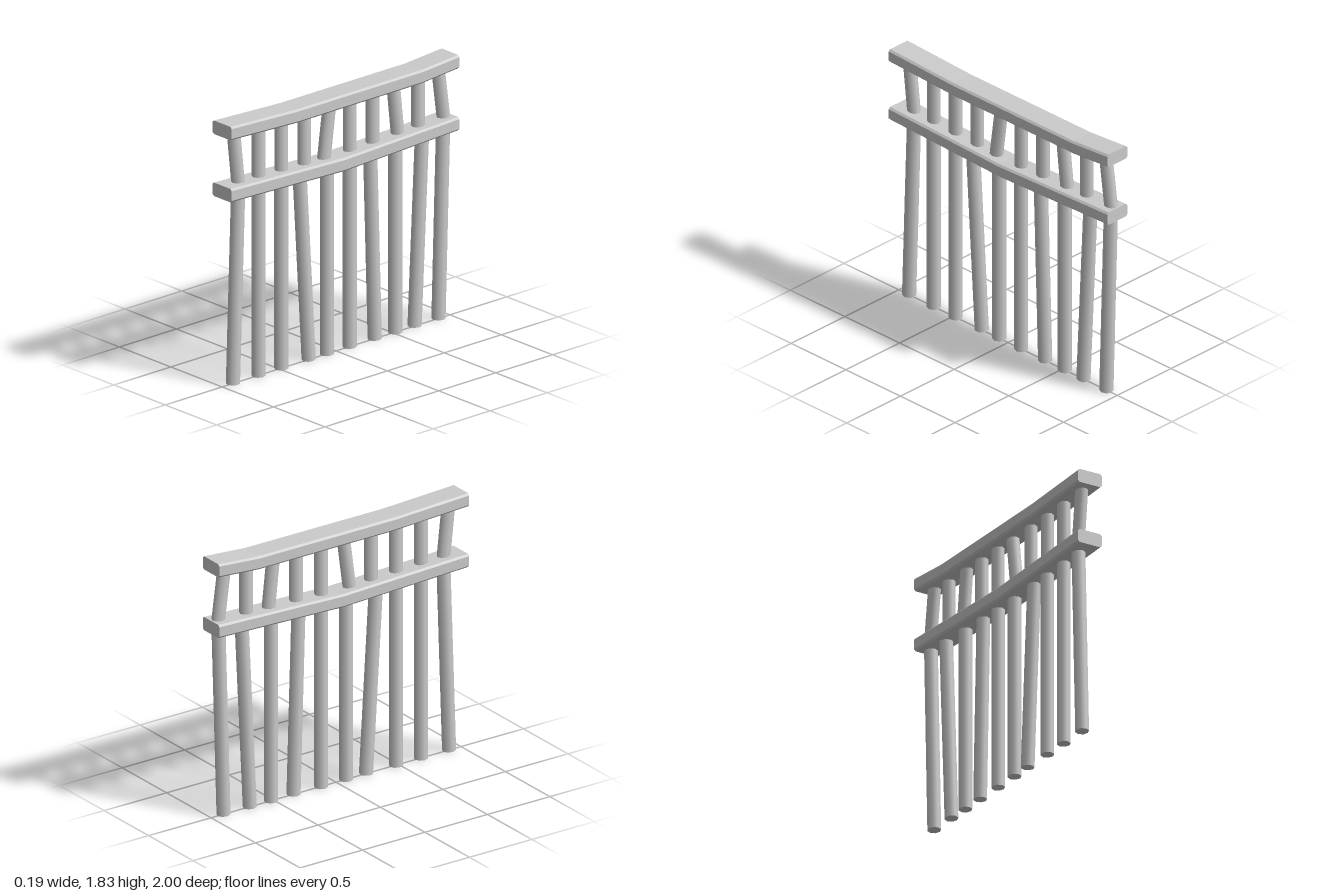
import * as THREE from 'three';

const material = new THREE.MeshStandardMaterial({ color: 0xcccccc });

// Rail: bevelled rectangular section swept along z through [z, centre y] stations.
function makeRail(name, stations, width, height) {
  const w = width / 2, h = height / 2, b = 0.013;
  const section = new THREE.Shape([
    [-w + b, -h], [w - b, -h], [w, -h + b], [w, h - b],
    [w - b, h], [-w + b, h], [-w, h - b], [-w, -h + b],
  ].map(([x, y]) => new THREE.Vector2(x, y)));
  const steps = stations.length - 1;
  const geometry = new THREE.ExtrudeGeometry(section, { depth: steps, steps, bevelEnabled: false });
  const pos = geometry.attributes.position;
  for (let i = 0; i < pos.count; i++) {
    const [z, y] = stations[Math.round(pos.getZ(i))];
    pos.setY(i, pos.getY(i) + y);
    pos.setZ(i, z);
  }
  geometry.computeVertexNormals();
  const rail = new THREE.Mesh(geometry, material);
  rail.name = name;
  return rail;
}

// Eight-sided post leaning from one point to another in the plane of the railing.
function makePost(name, z0, y0, z1, y1, rx, rz) {
  const length = Math.hypot(z1 - z0, y1 - y0);
  const post = new THREE.Mesh(new THREE.CylinderGeometry(1, 1, length, 8), material);
  post.scale.set(rx, 1, rz);
  post.position.set(0, (y0 + y1) / 2, (z0 + z1) / 2);
  post.rotation.x = Math.atan2(z1 - z0, y1 - y0);
  post.name = name;
  return post;
}

export function createModel() {
  const group = new THREE.Group();
  group.name = 'railing';

  // Rails, stations running from back to front
  group.add(makeRail('topRail',
    [[-1, 1.786], [-0.68, 1.762], [0.42, 1.762], [1, 1.786]], 0.186, 0.094));
  group.add(makeRail('lowerRail',
    [[-1, 1.354], [0, 1.321], [1, 1.354]], 0.186, 0.094));

  // Long posts: z at the ground and z at the lower rail
  const longPosts = [
    [0.905, 0.86], [0.68, 0.68], [0.48, 0.48], [0.24, 0.32], [0.08, 0.08],
    [-0.12, -0.12], [-0.34, -0.30], [-0.52, -0.52], [-0.69, -0.755], [-0.90, -0.94],
  ];
  longPosts.forEach(([z0, z1], i) => {
    const lift = 0.048 * Math.abs(z1 - z0) / 1.32;
    group.add(makePost(`longPost${i + 1}`, z0, lift, z1, 1.32, 0.045, 0.048));
  });

  // Short posts between the rails: z at the lower rail and z at the top rail
  const shortPosts = [
    [0.855, 0.90], [0.68, 0.68], [0.48, 0.48], [0.28, 0.28], [0.11, 0.055],
    [-0.12, -0.12], [-0.32, -0.32], [-0.545, -0.50], [-0.72, -0.72], [-0.95, -0.895],
  ];
  shortPosts.forEach(([z0, z1], i) => {
    group.add(makePost(`shortPost${i + 1}`, z0, 1.34, z1, 1.75, 0.041, 0.048));
  });

  return group;
}
